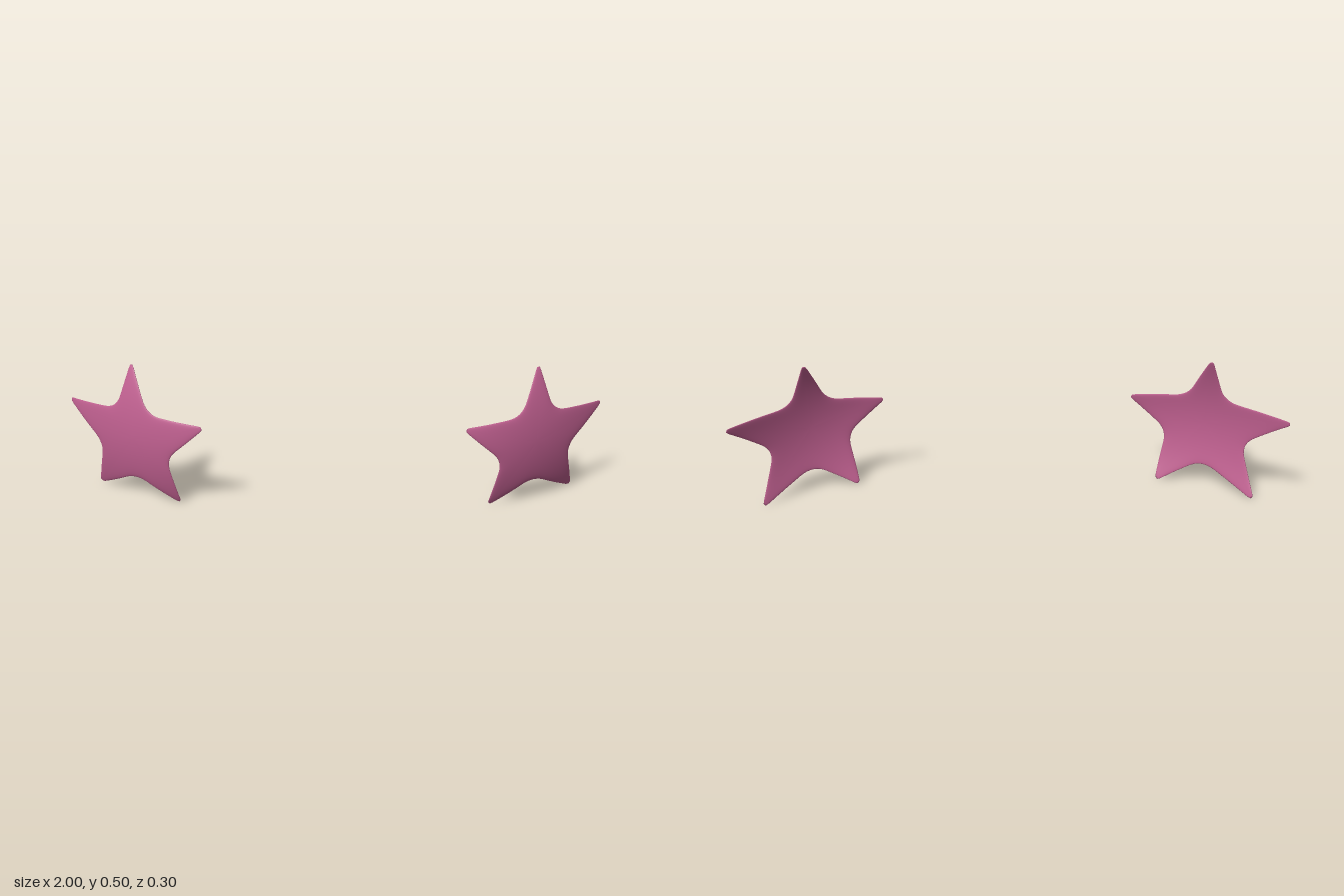
import * as THREE from 'three';
import { mergeVertices } from 'three/addons/utils/BufferGeometryUtils.js';

const SEGMENTS = 160, RINGS = 16, HALF_THICKNESS = 0.004;
const CENTRE_X = 0.735, CENTRE_Y = 0.24;

// Five-pointed outline, counter-clockwise from the top, with rounded tips and notches
function starOutline() {
  const half = [[0, 0.52], [0.062, 0.343], [0.28, 0.322], [0.128, 0.188], [0.172, -0.011]];
  const corners = [
    ...half.map(([x, y]) => new THREE.Vector2(-x, y)),
    new THREE.Vector2(0, 0.092),
    ...half.slice(1).reverse().map(([x, y]) => new THREE.Vector2(x, y)),
  ];
  const path = new THREE.Path();
  const n = corners.length;
  for (let i = 0; i <= n; i++) {
    const c = corners[i % n], cut = i % 2 ? 0.05 : 0.03;
    const towards = (k) => corners[(k + n) % n].clone().sub(c).setLength(cut).add(c);
    const a = towards(i - 1), b = towards((i + 1) % n);
    if (i === 0) path.moveTo(b.x, b.y);
    else {
      path.lineTo(a.x, a.y);
      path.quadraticCurveTo(c.x, c.y, b.x, b.y);
    }
  }
  return path.getSpacedPoints(SEGMENTS);
}

// Domed surface that wraps back towards the outer side
function domeDepth(u, y) {
  const v = y - 0.25;
  return 0.058 - 0.566 * u - 0.78 * u * u - 0.035 * v - 0.93 * v * v;
}

// A thin lens-shaped disc whose rim is pushed out to the star and bent over the dome
function starGeometry(side) {
  const profile = [];
  for (let j = -RINGS; j <= RINGS; j++) {
    const s = 1 - Math.abs(j) / RINGS, r = 1 - (1 - s) ** 1.5;
    profile.push(new THREE.Vector2(r, Math.sign(j) * HALF_THICKNESS * Math.sqrt(1 - r ** 10)));
  }
  const disc = new THREE.LatheGeometry(profile, SEGMENTS);
  const outline = starOutline();
  const pos = disc.attributes.position;
  for (let i = 0; i <= SEGMENTS; i++) {
    const o = outline[i % SEGMENTS];
    profile.forEach((p, j) => {
      const u = o.x * p.x;
      const y = CENTRE_Y + (o.y - CENTRE_Y) * p.x;
      pos.setXYZ(i * profile.length + j, u, y, domeDepth(side * u, y) + p.y);
    });
  }
  disc.deleteAttribute('normal');
  disc.deleteAttribute('uv');
  const geometry = mergeVertices(disc, 1e-5);
  geometry.computeVertexNormals();
  return geometry;
}

export function createModel() {
  const group = new THREE.Group();
  group.name = 'starPair';
  const material = new THREE.MeshStandardMaterial({ color: 0xc06090 });
  for (const [name, side] of [['leftStar', 1], ['rightStar', -1]]) {
    const star = new THREE.Mesh(starGeometry(side), material);
    star.name = name;
    star.position.x = side * CENTRE_X;
    group.add(star);
  }
  return group;
}
